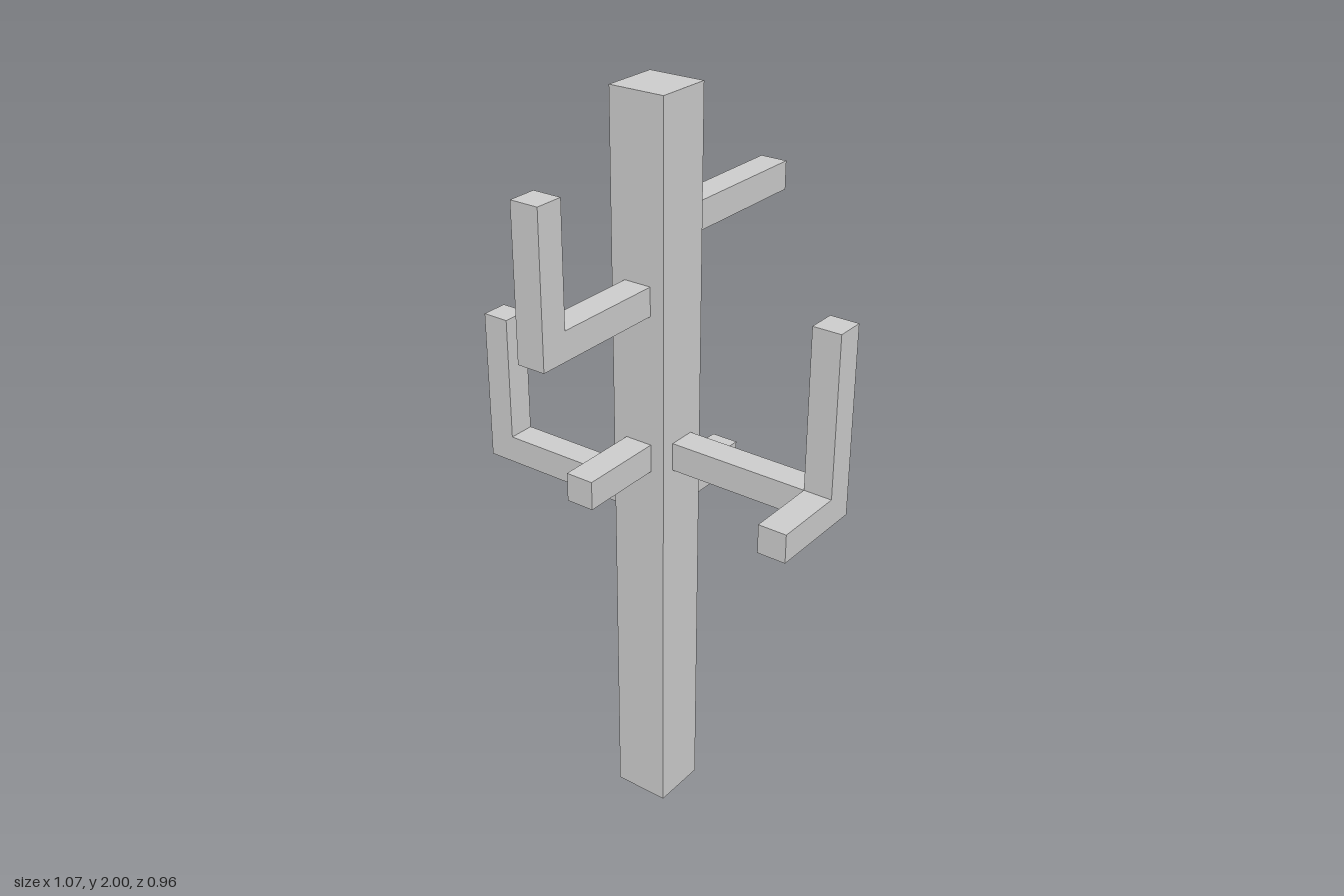
import * as THREE from 'three';

const HALF = 0.0765; // half width of the trunk
const T = 0.0755;    // thickness of every branch

export function createModel() {
  const material = new THREE.MeshStandardMaterial({ color: 0xcccccc, flatShading: true });
  const model = new THREE.Group();
  model.name = 'branchingPost';
  model.position.z = 0.019; // the trunk sits slightly forward of centre

  function add(name, geometry, x = 0, y = 0, z = 0) {
    const mesh = new THREE.Mesh(geometry, material);
    mesh.name = name;
    mesh.position.set(x, y, z);
    model.add(mesh);
    return mesh;
  }

  // Square trunk
  add('trunk', new THREE.BoxGeometry(2 * HALF, 2, 2 * HALF), 0, 1, 0);

  // A branch runs out from a trunk face to `reach`; with a `top` it bends upright
  function addBranch(name, angle, reach, bottom, top) {
    const points = [[HALF, 0], [reach, 0]];
    if (top) points.push([reach, top - bottom], [reach - T, top - bottom], [reach - T, T]);
    else points.push([reach, T]);
    points.push([HALF, T]);
    const shape = new THREE.Shape(points.map(([x, y]) => new THREE.Vector2(x, y)));
    const geometry = new THREE.ExtrudeGeometry(shape, { depth: T, bevelEnabled: false });
    geometry.translate(0, 0, -T / 2);
    add(name, geometry, 0, bottom).rotation.y = angle;
  }

  const FRONT = -Math.PI / 2, BACK = Math.PI / 2, LEFT = 0, RIGHT = Math.PI;
  addBranch('leftArm', LEFT, 0.535, 1.044, 1.54);
  addBranch('rightArm', RIGHT, 0.538, 0.889, 1.308);
  addBranch('frontArm', FRONT, 0.462, 1.465, 1.848);
  addBranch('frontStub', FRONT, 0.309, 1.044);
  addBranch('upperBackStub', BACK, 0.499, 1.619);
  addBranch('lowerBackStub', BACK, 0.304, 0.889);

  // Twig pointing forward from the elbow of the left arm
  const twig = 0.193;
  add('leftArmTwig', new THREE.BoxGeometry(T, T, twig), 0.535 - T / 2, 1.044 + T / 2, T / 2 + twig / 2);

  const group = new THREE.Group();
  group.add(model);
  return group;
}
